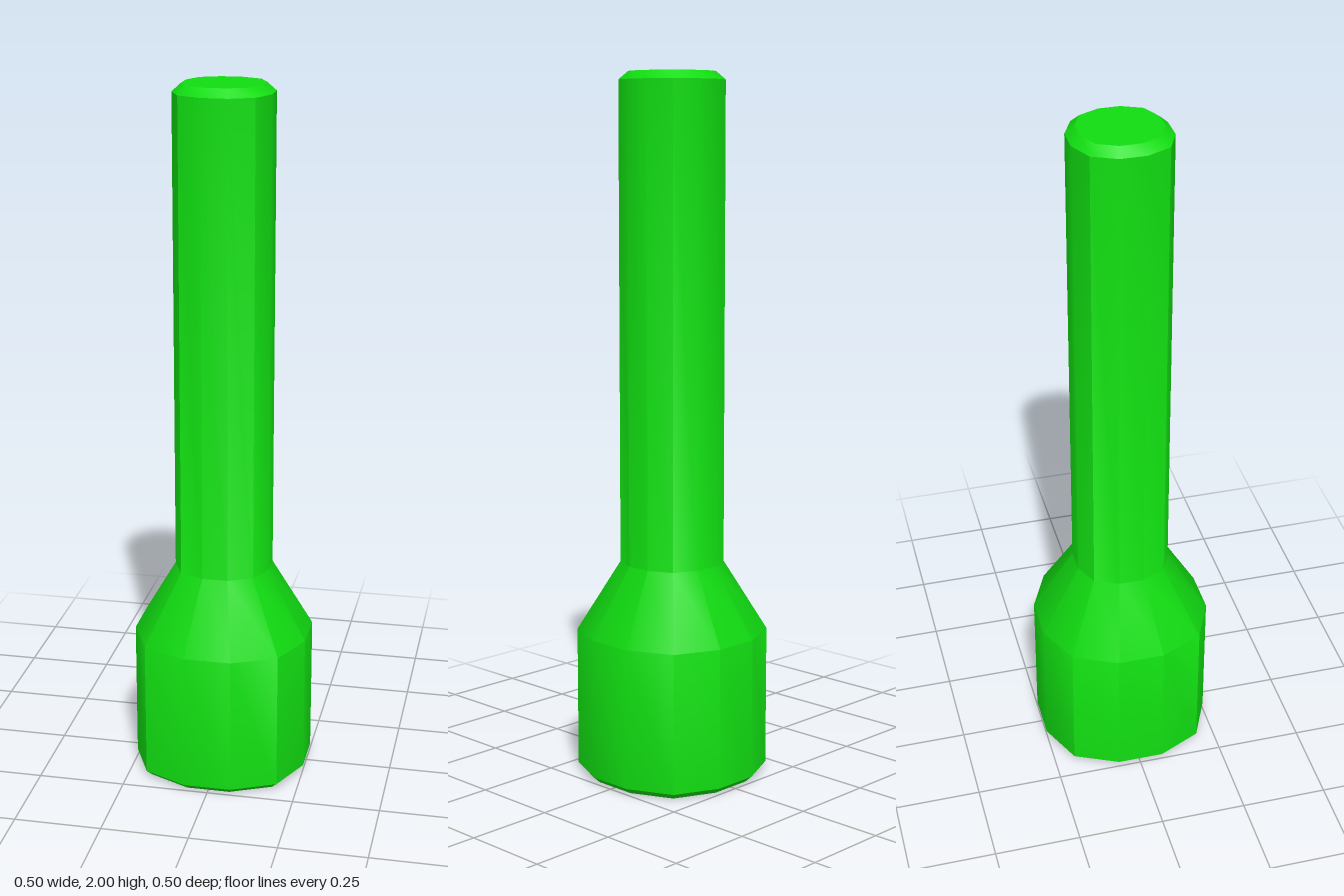
import * as THREE from 'three';
import { toCreasedNormals } from 'three/addons/utils/BufferGeometryUtils.js';

const SIDES = 12;
const CORNER = 1.05; // diagonal corners sit slightly further out

// Twelve-sided turned body; profile gives [half width, height]
function turned(profile) {
  const points = profile.map(([w, y]) => new THREE.Vector2(w / Math.cos(Math.PI / SIDES), y));
  const geometry = new THREE.LatheGeometry(points, SIDES, Math.PI / SIDES);
  const pos = geometry.attributes.position;
  for (let i = 0; i < pos.count; i++) {
    const x = pos.getX(i), z = pos.getZ(i);
    if (Math.abs(Math.abs(x) - Math.abs(z)) < 1e-4) {
      pos.setX(i, x * CORNER);
      pos.setZ(i, z * CORNER);
    }
  }
  return toCreasedNormals(geometry, 0.63);
}

export function createModel() {
  const group = new THREE.Group();
  group.name = 'socketTool';
  const green = new THREE.MeshStandardMaterial({ color: 0x11dd11 });

  const body = new THREE.Mesh(turned([
    // hollow socket, from its inner end down to the mouth
    [0, 0.5], [0.11, 0.5], [0.19, 0.38], [0.2, 0.015],
    // bevelled rim
    [0.21, 0], [0.232, 0], [0.251, 0.018],
    // outer wall, shoulder and shaft
    [0.251, 0.42], [0.136, 0.62], [0.136, 1.977],
    // bevelled closed top
    [0.111, 2], [0, 2],
  ]), green);
  body.name = 'socketAndShaft';
  group.add(body);
  return group;
}
